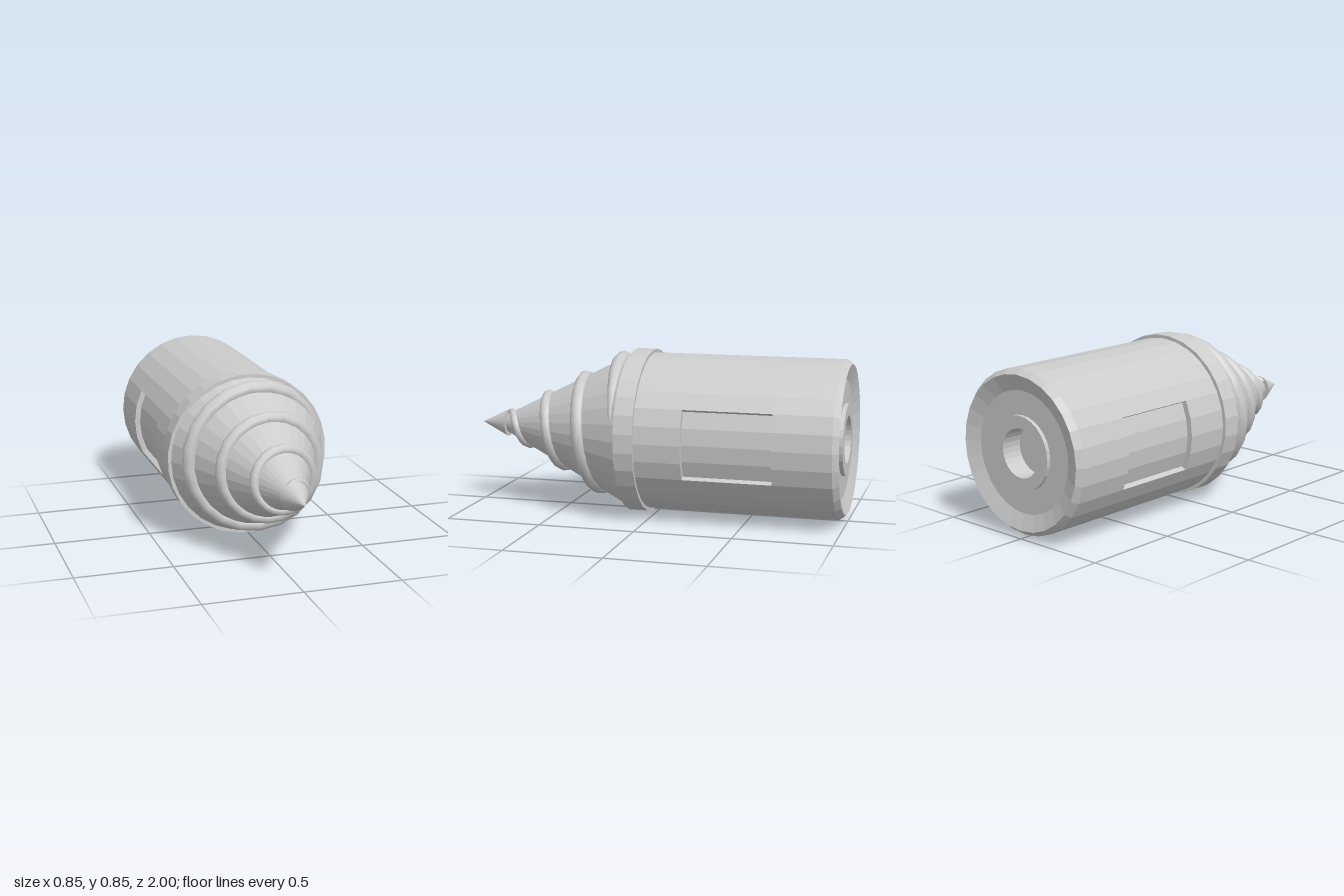
import * as THREE from 'three';

const SIDES = 28;
const AXIS_Y = 0.426;

const flatMat = new THREE.MeshStandardMaterial({ color: 0xcccccc, flatShading: true });
const smoothMat = new THREE.MeshStandardMaterial({ color: 0xcccccc });

// Solid of revolution around z; profile is [radius, z] running from back to front
function turned(name, profile, offset = 0) {
  const pts = profile.map(([r, z]) => new THREE.Vector2(r, z));
  const geo = new THREE.LatheGeometry(pts, SIDES, offset);
  geo.rotateX(Math.PI / 2);
  const mesh = new THREE.Mesh(geo, flatMat);
  mesh.name = name;
  return mesh;
}

// Middle of the body: a polygon with a radial-walled pocket on each side
function pocketSection(r, floorR, z0, z1) {
  const shape = new THREE.Shape();
  const add = (radius, i) => {
    const a = (i / SIDES) * Math.PI * 2;
    const x = radius * Math.cos(a), y = radius * Math.sin(a);
    if (shape.curves.length === 0 && i === -2 && radius === r) shape.moveTo(x, y);
    else shape.lineTo(x, y);
  };
  for (const start of [-2, SIDES / 2 - 2]) {
    add(r, start);
    for (let i = 0; i <= 4; i++) add(floorR, start + i);
    for (let i = 4; i < SIDES / 2; i++) add(r, start + i);
  }
  const geo = new THREE.ExtrudeGeometry(shape, { depth: z1 - z0, bevelEnabled: false });
  geo.translate(0, 0, z0);
  const mesh = new THREE.Mesh(geo, flatMat);
  mesh.name = 'bodyPockets';
  return mesh;
}

// Cone surface radius at a given z
const coneRadius = (z) => 0.41 - 0.5 * (z - 0.13);

// Tapering screw thread wound around the cone
function thread() {
  const turns = 3.35, steps = 68, ring = 10;
  const pos = [], index = [];
  for (let i = 0; i <= steps; i++) {
    const t = i / steps;
    const a = 0.08 + t * turns * Math.PI * 2;
    const z = 0.15 + t * turns * 0.21;
    const run = Math.min(1, 0.15 + t * 16);
    const size = (0.043 - 0.021 * t) * run;
    const R = coneRadius(z) - 0.003 - 0.012 * (1 - run);
    for (let j = 0; j < ring; j++) {
      const b = (j / ring) * Math.PI * 2;
      const rr = R + size * Math.cos(b);
      pos.push(rr * Math.cos(a), rr * Math.sin(a), z + size * Math.sin(b));
      if (i === steps) continue;
      const k = i * ring, n = (j + 1) % ring;
      index.push(k + j, k + ring + j, k + n, k + n, k + ring + j, k + ring + n);
    }
  }
  // End caps
  const last = steps * ring;
  for (let j = 1; j < ring - 1; j++) {
    index.push(0, j, j + 1, last, last + j + 1, last + j);
  }
  const geo = new THREE.BufferGeometry();
  geo.setAttribute('position', new THREE.Float32BufferAttribute(pos, 3));
  geo.setIndex(index);
  geo.computeVertexNormals();
  const mat = smoothMat.clone();
  mat.side = THREE.DoubleSide;
  const mesh = new THREE.Mesh(geo, mat);
  mesh.name = 'screwThread';
  return mesh;
}

export function createModel() {
  const model = new THREE.Group();
  model.name = 'drillHead';
  const parts = new THREE.Group();
  parts.name = 'drillParts';
  parts.position.y = AXIS_Y;
  model.add(parts);

  // Rear of the body: socket hole, boss, dished face and chamfered rim
  parts.add(turned('bodyRear', [
    [0, -0.88], [0.122, -0.88], [0.122, -0.99], [0.185, -0.99], [0.185, -0.97],
    [0.305, -0.97], [0.385, -1], [0.41, -0.97], [0.41, -0.67], [0, -0.67],
  ]));
  parts.add(pocketSection(0.41, 0.381, -0.67, -0.213));
  parts.add(turned('bodyFront', [[0, -0.213], [0.41, -0.213], [0.41, 0.03]]));

  // Collar between body and cone
  parts.add(turned('collar',
    [[0.4, 0.03], [0.428, 0.03], [0.428, 0.13], [0.38, 0.13]], Math.PI / SIDES));

  // Cone, thread and point
  parts.add(turned('drillCone', [[coneRadius(0.13), 0.13], [coneRadius(0.86), 0.86]]));
  parts.add(thread());
  parts.add(turned('drillPoint', [[0, 0.85], [0.073, 0.85], [0, 1]]));

  return model;
}
